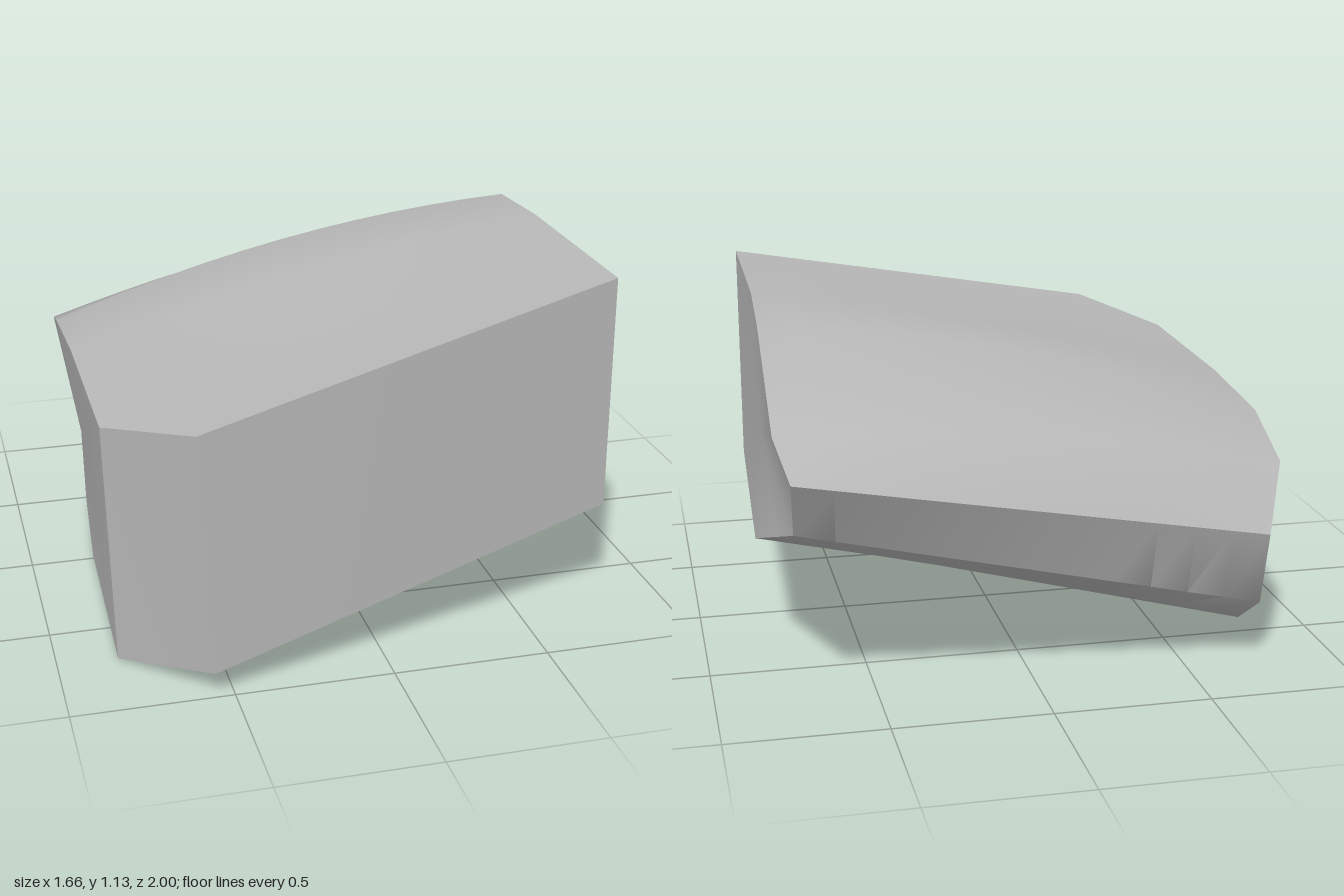
import * as THREE from 'three';
import { toCreasedNormals } from 'three/addons/utils/BufferGeometryUtils.js';

const V = (x, y, z) => new THREE.Vector3(x, y, z);

// Corners of the +x end, clockwise from the top front
const A = V(0.775, 1.135, 0.74), B = V(0.785, 1.13, 0), C = V(0.8, 1.1, -0.37), D = V(0.815, 0.9, -0.91);
const E = V(0.775, 0.78, -1), F = V(0.76, 0.59, -0.88), G = V(0.83, 0.41, -0.37), H = V(0.775, 0.37, 0.74);
const FG = F.clone().lerp(G, 0.45), GH = G.clone().lerp(H, 0.35);

// Rails running across the block: [-x end, +x end, upward bulge in the middle]
const rails = [
  [V(-0.6, 0.86, 1), A, 0],
  [V(-0.835, 0.79, 0.7), A, 0],
  [V(-0.83, 0.78, 0), B, 0.035],
  [V(-0.83, 0.746, -0.4), C, 0.065],
  [V(-0.81, 0.659, -0.69), D, 0.05],
  [V(-0.72, 0.478, -0.865), E, 0],
  [V(-0.728, 0.22, -0.78), F, 0],
  [V(-0.71, 0.115, -0.64), FG, 0],
  [V(-0.76, 0.05, -0.38), G, 0],
  [V(-0.79, 0.015, 0), GH, 0],
  [V(-0.81, 0.005, 0.7), H, 0],
  [V(-0.56, 0.085, 1), H, 0],
];

// Collects triangles, skipping those with no area
function makeSurface(name, material, crease, fill) {
  const pos = [];
  const tri = (a, b, c) => {
    const area = b.clone().sub(a).cross(c.clone().sub(a)).length();
    if (area > 1e-7) for (const p of [a, b, c]) pos.push(p.x, p.y, p.z);
  };
  fill(tri);
  const geo = new THREE.BufferGeometry();
  geo.setAttribute('position', new THREE.Float32BufferAttribute(pos, 3));
  const mesh = new THREE.Mesh(toCreasedNormals(geo, crease), material);
  mesh.name = name;
  return mesh;
}

// Fan around the middle of an outline
function fan(tri, pts, flip) {
  const mid = pts.reduce((s, p) => s.add(p), V(0, 0, 0)).divideScalar(pts.length);
  pts.forEach((p, i) => {
    const q = pts[(i + 1) % pts.length];
    if (flip) tri(mid, q, p); else tri(mid, p, q);
  });
}

export function createModel() {
  const group = new THREE.Group();
  group.name = 'block';
  const grey = new THREE.MeshStandardMaterial({ color: 0xb8b8b8 });
  grey.name = 'plain grey';

  // Top, back, underside and front, lofted between the two ends
  const steps = 12;
  const rows = rails.map(([l, r, bulge]) => Array.from({ length: steps + 1 }, (_, j) => {
    const t = j / steps, p = l.clone().lerp(r, t);
    p.y += bulge * 4 * t * (1 - t);
    return p;
  }));
  group.add(makeSurface('shell', grey, 0.65, (tri) => {
    rows.forEach((row, i) => {
      const next = rows[(i + 1) % rows.length];
      for (let j = 0; j < steps; j++) {
        tri(row[j], row[j + 1], next[j + 1]);
        tri(row[j], next[j + 1], next[j]);
      }
    });
  }));

  // End faces
  group.add(makeSurface('leftEnd', grey, 0.5, (tri) => fan(tri, [A, B, C, D, E, F, FG, G, GH, H], true)));
  const rightOutline = rails.slice(1, -1).map((r) => r[0]);
  group.add(makeSurface('rightEnd', grey, 0.5, (tri) => fan(tri, rightOutline, false)));

  // Cut-off front corner
  const corner = [0, 1, 10, 11].map((i) => rails[i][0]);
  group.add(makeSurface('frontCorner', grey, 0.5, (tri) => fan(tri, corner, false)));

  return group;
}
